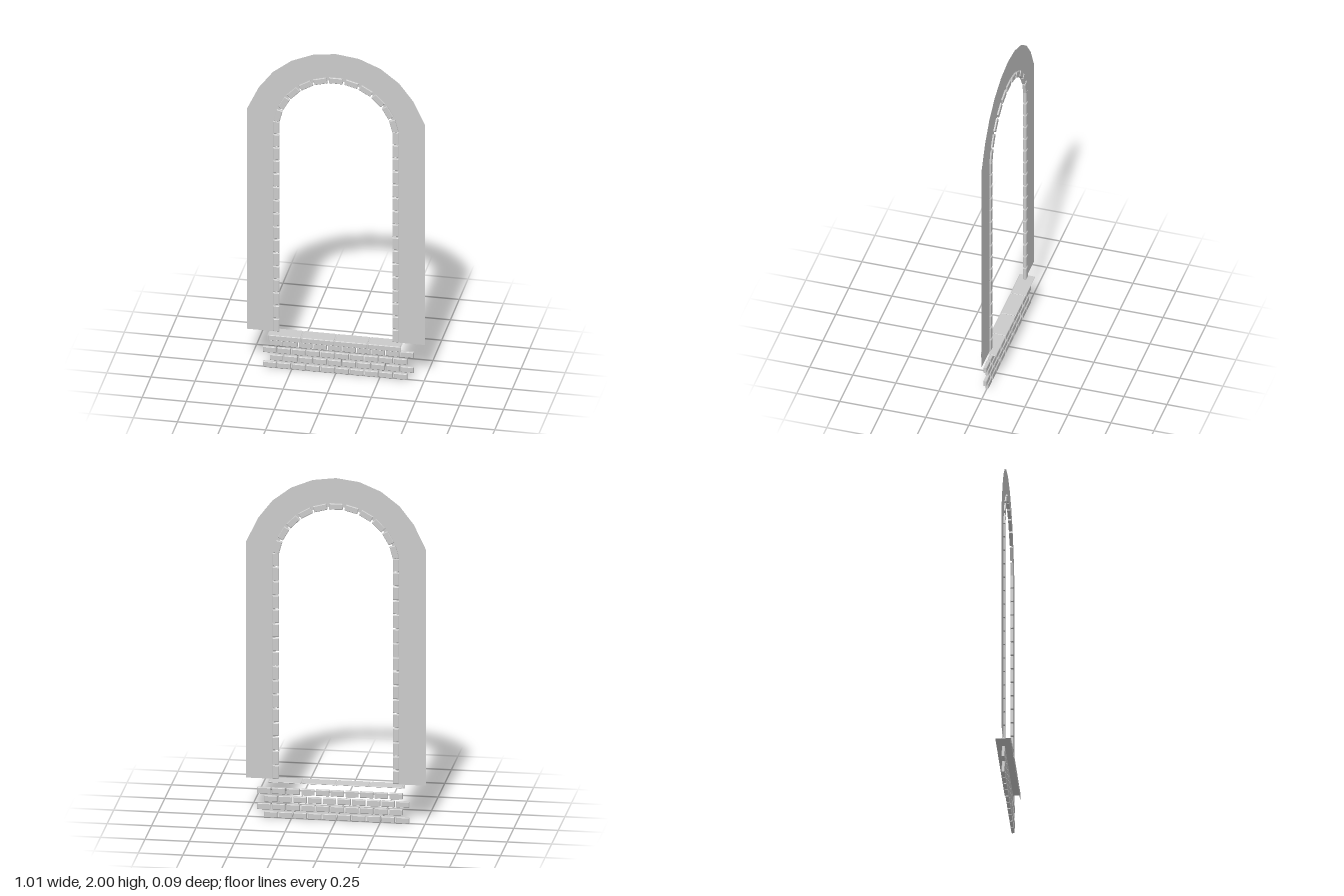
import * as THREE from 'three';

const material = new THREE.MeshStandardMaterial({ color: 0xcccccc, flatShading: true, side: THREE.DoubleSide });

// Box with chamfered front and back edges, centred on the origin
function chamferBox(w, h, d, bevel) {
  const x = w / 2 - bevel, y = h / 2 - bevel;
  const shape = new THREE.Shape([[-x, -y], [x, -y], [x, y], [-x, y]].map(([a, b]) => new THREE.Vector2(a, b)));
  const geometry = new THREE.ExtrudeGeometry(shape, {
    depth: d - 2 * bevel, bevelEnabled: true, bevelSize: bevel, bevelThickness: bevel, bevelSegments: 1,
  });
  return geometry.translate(0, 0, bevel - d / 2);
}

function add(parent, name, geometry, x = 0, y = 0, z = 0) {
  const mesh = new THREE.Mesh(geometry, material);
  mesh.name = name;
  mesh.position.set(x, y, z);
  parent.add(mesh);
  return mesh;
}

function addGroup(parent, name) {
  const group = new THREE.Group();
  group.name = name;
  parent.add(group);
  return group;
}

const STEP = Math.PI / 12;
const ARCH_Y = 1.494;
const FOOT_Y = 0.226;

// Points of a flat-sided arch, right foot to left foot
function archPoints(radius, shoulderY) {
  const points = [new THREE.Vector2(radius, FOOT_Y), new THREE.Vector2(radius, shoulderY)];
  for (let i = 2; i <= 10; i++) {
    points.push(new THREE.Vector2(radius * Math.cos(i * STEP), ARCH_Y + radius * Math.sin(i * STEP)));
  }
  points.push(new THREE.Vector2(-radius, shoulderY), new THREE.Vector2(-radius, FOOT_Y));
  return points;
}

export function createModel() {
  const model = new THREE.Group();
  model.name = 'brickArchWindow';

  // Flat plaster surround
  const outline = [...archPoints(0.506, 1.605), ...archPoints(0.341, 1.565).reverse()];
  add(model, 'surround', new THREE.ShapeGeometry(new THREE.Shape(outline)));

  // Brick columns on both sides of the opening
  const jambBrick = chamferBox(0.035, 0.075, 0.018, 0.003);
  for (const side of [-1, 1]) {
    const jamb = addGroup(model, side > 0 ? 'leftJamb' : 'rightJamb');
    for (let i = 0; i < 16; i++) add(jamb, 'jambBrick', jambBrick, side * 0.338, 0.268 + i * 0.0827);
  }

  // Ring of bricks over the opening
  const arch = addGroup(model, 'archRing');
  const archBrick = chamferBox(0.075, 0.035, 0.018, 0.003);
  for (let i = -5; i <= 5; i++) {
    const a = i * STEP;
    const brick = add(arch, 'archBrick', archBrick, 0.34 * Math.sin(a), ARCH_Y + 0.34 * Math.cos(a));
    brick.rotation.z = -a;
  }

  // Staggered brick courses under the sill
  const wall = addGroup(model, 'lowerWall');
  const wallBrick = chamferBox(0.074, 0.035, 0.018, 0.003);
  for (let row = 0; row < 4; row++) {
    for (let i = 0; i < 10; i++) {
      add(wall, 'wallBrick', wallBrick, -0.376 + (row % 2) * 0.0385 + i * 0.0825, 0.0178 + row * 0.0465);
    }
  }

  // Sill: a thin bent sheet with four raised tiles, open below and behind
  const sill = addGroup(model, 'sill');
  add(sill, 'sillTopSheet', new THREE.PlaneGeometry(0.758, 0.085).rotateX(-Math.PI / 2), -0.002, 0.218, -0.001);
  add(sill, 'sillFrontSheet', new THREE.PlaneGeometry(0.758, 0.027), -0.002, 0.2045, 0.0415);
  const topTile = chamferBox(0.182, 0.088, 0.004, 0.0018).rotateX(-Math.PI / 2);
  const frontTile = chamferBox(0.182, 0.03, 0.004, 0.0018);
  for (let i = 0; i < 4; i++) {
    const x = -0.285 + i * 0.189;
    add(sill, 'sillTopTile', topTile, x, 0.22, -0.001);
    add(sill, 'sillFrontTile', frontTile, x, 0.206, 0.043);
  }
  return model;
}
